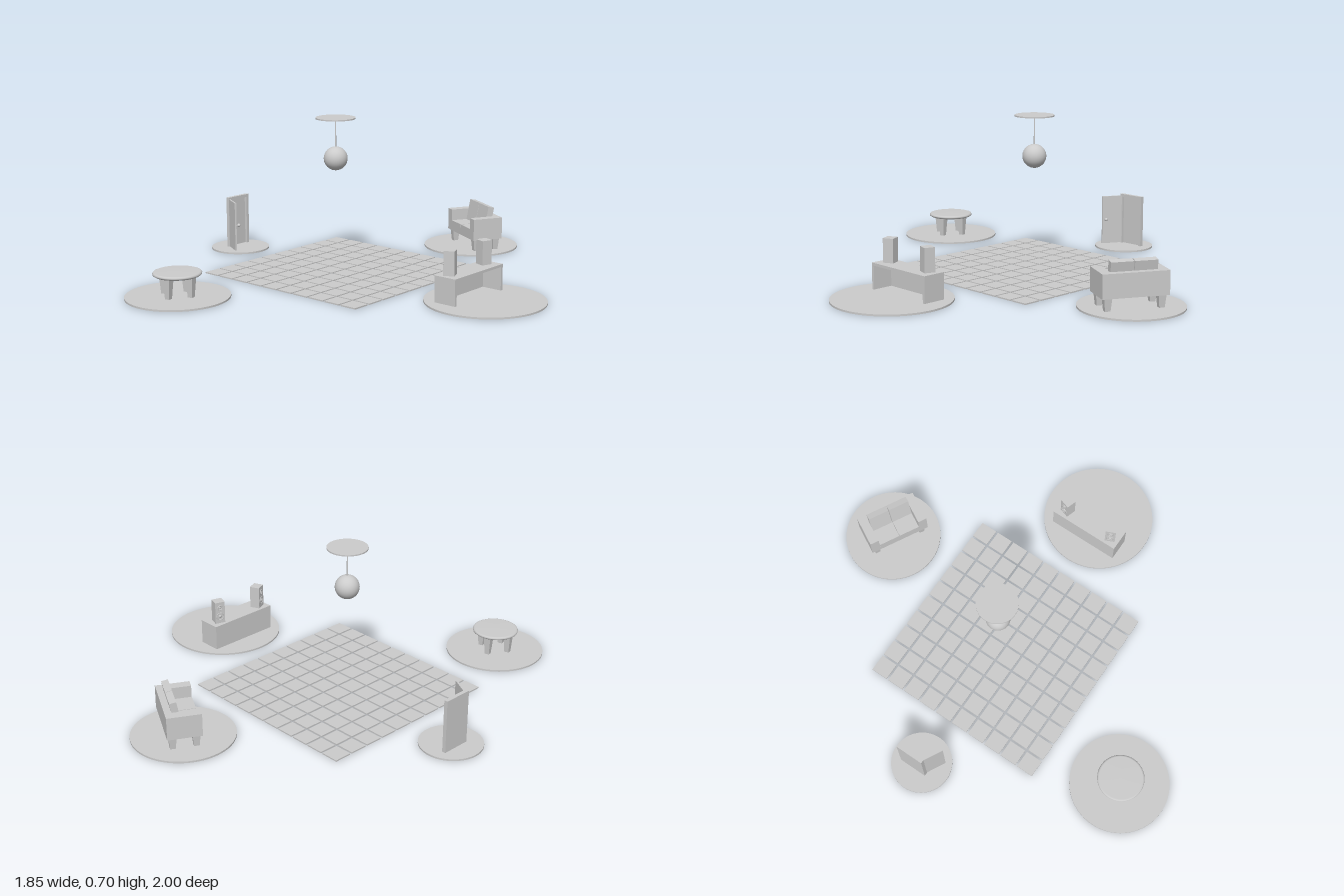
import * as THREE from 'three';

const grey = new THREE.MeshStandardMaterial({ color: 0xcccccc });
const BASE = 0.008; // thickness of the round plinths

function add(parent, name, geometry, x = 0, y = 0, z = 0) {
  const mesh = new THREE.Mesh(geometry, grey);
  mesh.name = name;
  mesh.position.set(x, y, z);
  parent.add(mesh);
  return mesh;
}

const box = (w, h, d) => new THREE.BoxGeometry(w, h, d);

function group(parent, name, x, z, angle = 0) {
  const g = new THREE.Group();
  g.name = name;
  g.position.set(x, 0, z);
  g.rotation.y = THREE.MathUtils.degToRad(angle);
  parent.add(g);
  return g;
}

function plinth(parent, name, x, z, r) {
  add(parent, name, new THREE.CylinderGeometry(r, r, BASE, 64), x, BASE / 2, z);
}

// Square leg, wider at the top
function taperedLeg(top, bottom, height) {
  const g = box(top, height, top);
  const p = g.attributes.position;
  for (let i = 0; i < p.count; i++) {
    if (p.getY(i) < 0) {
      p.setX(i, p.getX(i) * bottom / top);
      p.setZ(i, p.getZ(i) * bottom / top);
    }
  }
  g.computeVertexNormals();
  return g;
}

function fourLegs(parent, places, top, bottom, y0, y1) {
  for (const [x, z] of places) {
    add(parent, 'leg', taperedLeg(top, bottom, y1 - y0), x, (y0 + y1) / 2, z);
  }
}

function buildFloor(parent) {
  const floor = group(parent, 'tileFloor', -0.117, -0.015);
  const tile = box(0.08, 0.006, 0.08);
  for (let i = 0; i < 10; i++) {
    for (let j = 0; j < 10; j++) {
      add(floor, 'floorTile', tile, (i - 4.5) * 0.09, 0.003, (j - 4.5) * 0.09);
    }
  }
}

function buildLamp(parent) {
  const lamp = group(parent, 'pendantLamp', -0.17, -0.015);
  add(lamp, 'ceilingPlate', new THREE.CylinderGeometry(0.09, 0.09, 0.006, 48), 0, 0.695, 0);
  add(lamp, 'rod', new THREE.CylinderGeometry(0.003, 0.003, 0.14, 12), 0, 0.625, 0);
  add(lamp, 'globe', new THREE.SphereGeometry(0.054, 32, 20), 0, 0.512, 0);
}

function buildTable(parent) {
  plinth(parent, 'tablePlinth', -0.367, 0.773, 0.225);
  const table = group(parent, 'roundTable', -0.367, 0.773, 13);
  const profile = [[0, 0.097], [0.098, 0.097], [0.104, 0.101], [0.105, 0.106],
    [0.102, 0.111], [0.096, 0.113], [0, 0.114]].map(([x, y]) => new THREE.Vector2(x, y));
  add(table, 'tableTop', new THREE.LatheGeometry(profile, 48));
  fourLegs(table, [[0.068, 0], [-0.068, 0], [0, 0.068], [0, -0.068]], 0.034, 0.02, 0.001, 0.099);
}

function buildSofa(parent) {
  plinth(parent, 'sofaPlinth', 0.035, -0.776, 0.225);
  const sofa = group(parent, 'sofa', 0.053, -0.782, -28.4);
  const W = 0.289, D = 0.149, arm = 0.042;
  const inner = W - 2 * arm;
  add(sofa, 'seatBase', box(inner, 0.034, D), 0, 0.079, 0);
  add(sofa, 'backPanel', box(inner, 0.07, 0.035), 0, 0.13, -D / 2 + 0.0175);
  for (const s of [-1, 1]) {
    add(sofa, 'armrest', box(arm, 0.103, D), s * (W - arm) / 2, 0.1135, 0);
    add(sofa, 'seatCushion', box(inner / 2 - 0.003, 0.016, 0.112), s * inner / 4, 0.104, 0.0185);
    const cushion = add(sofa, 'backCushion', box(inner / 2 - 0.003, 0.105, 0.03), s * inner / 4, 0.157, -0.028);
    cushion.rotation.x = -0.19;
  }
  const legs = [[-0.116, -0.05], [0.116, -0.05], [-0.116, 0.05], [0.116, 0.05]];
  fourLegs(sofa, legs, 0.034, 0.022, 0.001, 0.064);
}

function buildDoor(parent) {
  plinth(parent, 'doorPlinth', -0.79, -0.015, 0.138);
  const door = group(parent, 'doorway', -0.824, -0.033);
  const L = 0.132, H = 0.25, post = 0.014;
  add(door, 'backing', box(0.005, H - BASE, L), -0.006, (H + BASE) / 2, 0);
  add(door, 'lintel', box(0.017, post, L), 0, H - post / 2, 0);
  for (const s of [-1, 1]) {
    add(door, 'doorPost', box(0.017, H - BASE, post), 0, (H + BASE) / 2, s * (L - post) / 2);
  }
  // Open leaf, hinged on the +z post
  const leaf = group(door, 'doorLeaf', 0.004, 0.058, -28);
  add(leaf, 'leafPanel', box(0.102, 0.232, 0.008), 0.051, 0.126, 0);
  add(leaf, 'knobStem', new THREE.CylinderGeometry(0.003, 0.003, 0.012, 10), 0.088, 0.13, -0.009).rotation.x = Math.PI / 2;
  add(leaf, 'knob', new THREE.SphereGeometry(0.008, 16, 12), 0.088, 0.13, -0.019);
}

function buildDesk(parent) {
  plinth(parent, 'deskPlinth', 0.664, -0.015, 0.26);
  const desk = group(parent, 'desk', 0.579, -0.015);
  const W = 0.106, L = 0.34, H = 0.124, t = 0.012;
  add(desk, 'deskTop', box(W, t, L), 0, H - t / 2, 0);
  add(desk, 'frontPanel', box(t, H - t - BASE, L), (t - W) / 2, (H - t + BASE) / 2, 0);
  for (const s of [-1, 1]) {
    add(desk, 'sidePanel', box(W - t, H - t - BASE, t), t / 2, (H - t + BASE) / 2, s * (L - t) / 2);
  }
  // Speakers, turned outward, with two drivers on the -x face
  for (const [z, angle] of [[-0.118, -18], [0.122, 24]]) {
    const speaker = group(desk, 'speaker', -0.01, z, angle);
    add(speaker, 'cabinet', box(0.047, 0.106, 0.048), 0, H + 0.053, 0);
    for (const [y, r] of [[0.034, 0.017], [0.078, 0.011]]) {
      const ring = add(speaker, 'driverRing', new THREE.TorusGeometry(r, 0.0025, 8, 24), -0.0235, H + y, 0);
      ring.rotation.y = -Math.PI / 2;
      const cone = add(speaker, 'driverCone', new THREE.SphereGeometry(r * 0.45, 16, 10), -0.0235, H + y, 0);
      cone.scale.x = 0.5;
    }
  }
}

export function createModel() {
  const model = new THREE.Group();
  model.name = 'roomFurnitureSet';
  buildFloor(model);
  buildLamp(model);
  buildTable(model);
  buildSofa(model);
  buildDoor(model);
  buildDesk(model);
  return model;
}
